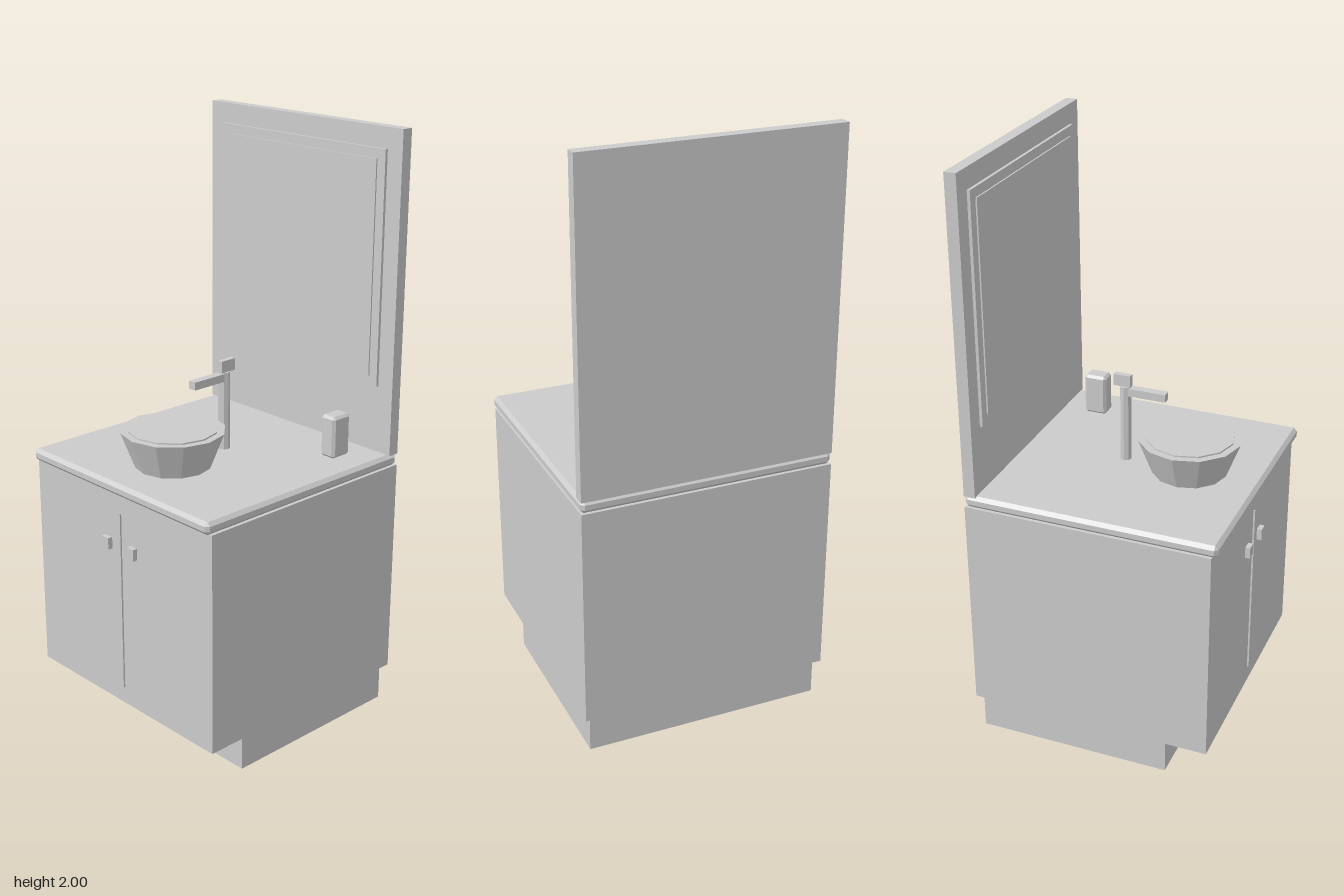
import * as THREE from 'three';
import { ConvexGeometry } from 'three/addons/geometries/ConvexGeometry.js';

const material = new THREE.MeshStandardMaterial({ color: 0xcccccc, flatShading: true });

// Box geometry with every edge cut by a flat chamfer
function chamferBox(w, h, d, c) {
  const half = [w / 2, h / 2, d / 2];
  const points = [];
  for (const sx of [-1, 1]) for (const sy of [-1, 1]) for (const sz of [-1, 1]) {
    for (let full = 0; full < 3; full++) {
      const [x, y, z] = half.map((s, i) => (i === full ? s : s - c));
      points.push(new THREE.Vector3(sx * x, sy * y, sz * z));
    }
  }
  return new ConvexGeometry(points);
}

export function createModel() {
  const group = new THREE.Group();

  function add(name, geometry, x, y, z) {
    const mesh = new THREE.Mesh(geometry, material);
    mesh.name = name;
    mesh.position.set(x, y, z);
    group.add(mesh);
    return mesh;
  }

  // Box given by its min and max on each axis, chamfered if c > 0
  function box(name, [x0, x1], [y0, y1], [z0, z1], c = 0) {
    const size = [x1 - x0, y1 - y0, z1 - z0];
    const geometry = c ? chamferBox(...size, c) : new THREE.BoxGeometry(...size);
    return add(name, geometry, (x0 + x1) / 2, (y0 + y1) / 2, (z0 + z1) / 2);
  }

  // Cabinet
  box('plinth', [-0.41, 0.41], [0, 0.13], [-0.41, 0.26]);
  box('cabinet', [-0.43, 0.43], [0.13, 0.885], [-0.43, 0.41]);
  box('doorDivider', [-0.003, 0.003], [0.19, 0.82], [0.4, 0.416]);
  for (const side of [-1, 1]) {
    const x = side * 0.062;
    box(side < 0 ? 'rightHandle' : 'leftHandle', [x - 0.016, x + 0.016], [0.682, 0.722], [0.4, 0.427]);
  }
  box('countertop', [-0.43, 0.43], [0.885, 0.927], [-0.43, 0.43], 0.012);

  // Back panel and mirror
  box('backPanel', [-0.43, 0.43], [0.925, 2], [-0.43, -0.39]);
  box('mirrorFrame', [-0.37, 0.37], [1.155, 1.932], [-0.395, -0.38]);
  box('mirror', [-0.338, 0.338], [1.187, 1.9], [-0.385, -0.375]);

  // Vessel basin: flared tub with a slightly raised inner disc
  add('basin', new THREE.CylinderGeometry(0.173, 0.125, 0.125, 12), 0, 0.9875, 0.184);
  add('basinInside', new THREE.CylinderGeometry(0.148, 0.148, 0.01, 12), 0, 1.05, 0.184);

  // Tap
  add('tapPost', new THREE.CylinderGeometry(0.02, 0.02, 0.27, 8), 0, 1.06, -0.043);
  box('tapSpout', [-0.0145, 0.0145], [1.165, 1.192], [-0.03, 0.1]);
  box('tapLever', [-0.01, 0.01], [1.195, 1.235], [-0.083, -0.024]);

  // Soap dispenser
  box('soapDispenser', [0.265, 0.326], [0.925, 1.07], [-0.309, -0.229], 0.009);

  return group;
}
